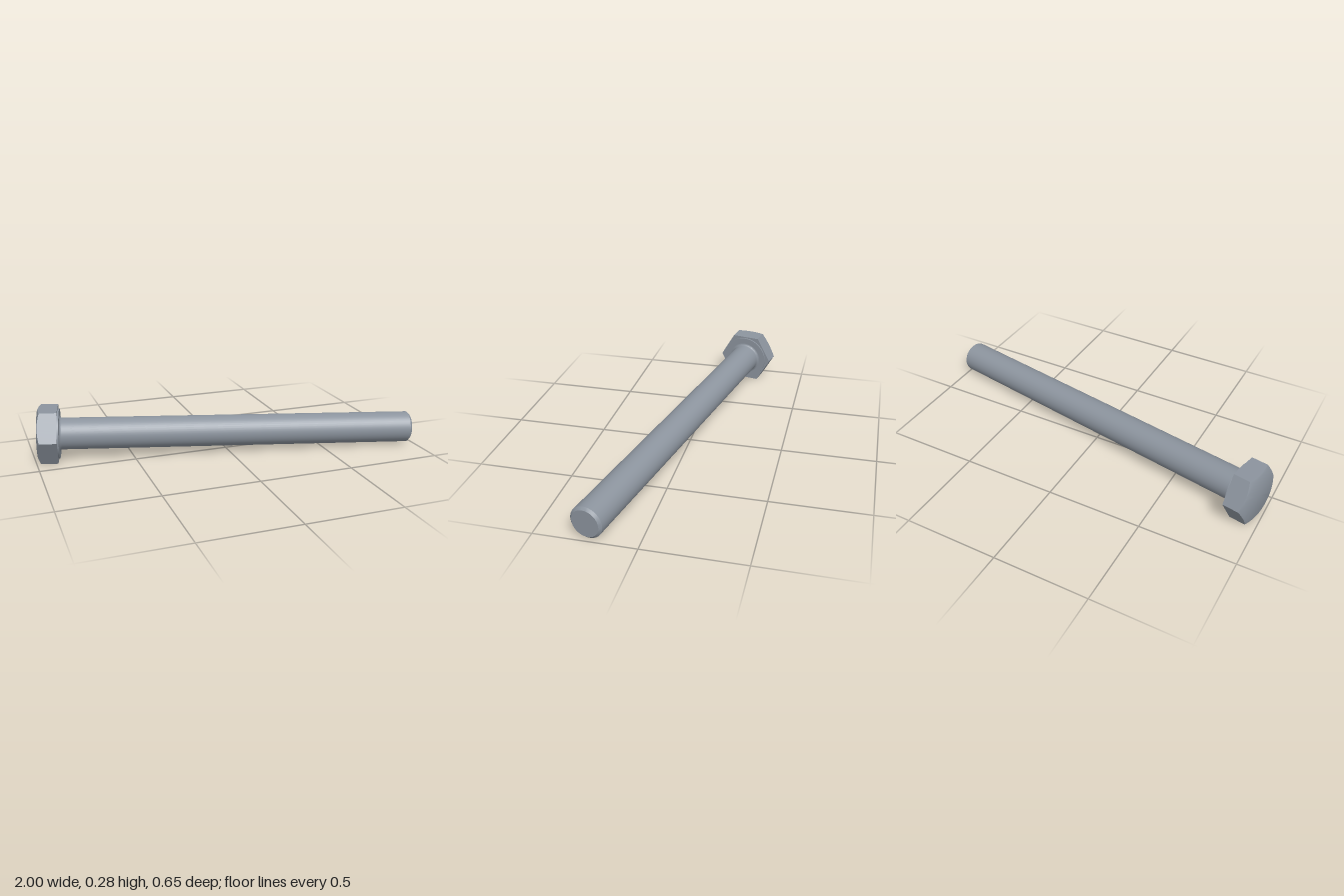
import * as THREE from 'three';
import { toCreasedNormals } from 'three/addons/utils/BufferGeometryUtils.js';

const LENGTH = 2.004;      // outer head face to tip
const HEAD = 0.102;        // head thickness
const APOTHEM = 0.1375;    // half the width across flats
const SHAFT_R = 0.083;
const WASHER_R = 0.13;

// Hexagonal head along +y: chamfered outer cap, six flats, flat underside
function headGeometry() {
  const positions = [];
  const tri = (...points) => points.forEach((p) => positions.push(p.x, p.y, p.z));
  const at = (r, y, a) => new THREE.Vector3(r * Math.cos(a), y, r * Math.sin(a));
  const side = Math.PI / 3, steps = 8;
  const cap = new THREE.Vector3(0, 0, 0), under = new THREE.Vector3(0, HEAD, 0);

  const column = (s, k) => {
    const local = (k / steps - 0.5) * side;
    const a = s * side + local;
    const r = APOTHEM / Math.cos(local);
    return {
      ring: at(WASHER_R, 0, a),
      rim: at(r, (r - WASHER_R) * 0.5, a),
      base: at(r, HEAD, a),
    };
  };

  for (let s = 0; s < 6; s++) {
    for (let k = 0; k < steps; k++) {
      const p = column(s, k), q = column(s, k + 1);
      tri(cap, p.ring, q.ring);
      tri(p.ring, p.rim, q.rim);
      tri(p.ring, q.rim, q.ring);
      tri(p.rim, p.base, q.rim);
      tri(q.rim, p.base, q.base);
      tri(under, q.base, p.base);
    }
  }
  const geometry = new THREE.BufferGeometry();
  geometry.setAttribute('position', new THREE.Float32BufferAttribute(positions, 3));
  return toCreasedNormals(geometry, 0.7);
}

function lathe(profile) {
  const points = profile.map(([r, y]) => new THREE.Vector2(r, y));
  return toCreasedNormals(new THREE.LatheGeometry(points, 48), 0.6);
}

export function createModel() {
  const steel = new THREE.MeshStandardMaterial({ color: 0x8c949e });
  steel.name = 'steel grey';

  const bolt = new THREE.Group();
  bolt.name = 'bolt';
  const add = (name, geometry) => {
    const mesh = new THREE.Mesh(geometry, steel);
    mesh.name = name;
    bolt.add(mesh);
  };

  add('hexHead', headGeometry());

  // Thin washer face under the head
  const seat = HEAD + 0.008;
  add('washerFace', lathe([[WASHER_R, HEAD - 0.01], [WASHER_R, seat], [0, seat]]));

  // Shaft: fillet at the head, chamfer at the tip
  const fillet = 0.013, chamfer = 0.0125;
  const profile = [];
  for (let i = 0; i <= 5; i++) {
    const a = (i / 5) * Math.PI / 2;
    profile.push([SHAFT_R + fillet * (1 - Math.sin(a)), seat + fillet * (1 - Math.cos(a))]);
  }
  profile.push([SHAFT_R, LENGTH - chamfer], [SHAFT_R - chamfer, LENGTH], [0, LENGTH]);
  add('shaft', lathe(profile));

  // Lay the bolt down, resting on the head and the tip
  const axis = new THREE.Vector3(0.977, -0.0277, 0.2085).normalize();
  const across = new THREE.Vector3(0, 1, 0).cross(axis).normalize().negate();
  const up = axis.clone().cross(across);
  bolt.quaternion.setFromRotationMatrix(new THREE.Matrix4().makeBasis(up, axis, across));
  bolt.position.set(-0.973, 0.1395, -0.171);

  const model = new THREE.Group();
  model.name = 'hexBolt';
  model.add(bolt);
  return model;
}
